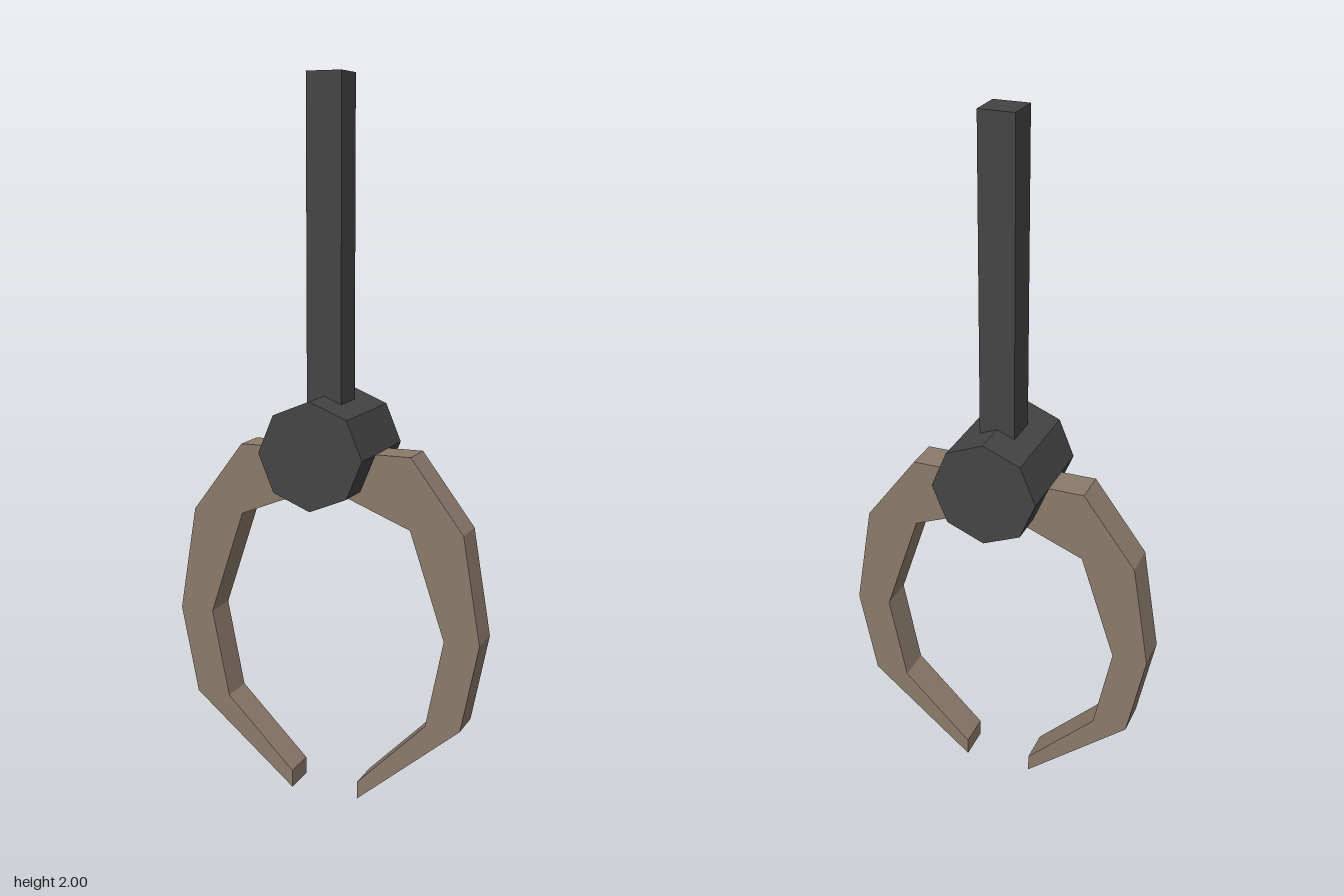
import * as THREE from 'three';

const darkMetal = new THREE.MeshStandardMaterial({ color: 0x444444, flatShading: true });
const brownMetal = new THREE.MeshStandardMaterial({ color: 0x8b7a6b, flatShading: true });

// Outline of one claw: outer edge down to the tip, then inner edge back up
const clawOutline = [
  [0, 1], [0.25, 1], [0.4, 0.8], [0.45, 0.5], [0.4, 0.25], [0.1, 0],
  [0.1, 0.05], [0.3, 0.25], [0.35, 0.5], [0.25, 0.8], [0, 0.9],
];

function makeClaw(name, side) {
  const shape = new THREE.Shape(clawOutline.map(([x, y]) => new THREE.Vector2(side * x, y)));
  const geometry = new THREE.ExtrudeGeometry(shape, { depth: 0.1, bevelEnabled: false });
  geometry.translate(0, 0, -0.05);
  const claw = new THREE.Mesh(geometry, brownMetal);
  claw.name = name;
  return claw;
}

export function createModel() {
  const group = new THREE.Group();
  group.name = 'grabberClaw';

  // Square arm running from the hinge to the top
  const arm = new THREE.Mesh(new THREE.BoxGeometry(0.1, 1, 0.1), darkMetal);
  arm.name = 'arm';
  arm.position.y = 1.5;

  // Eight-sided hinge lying front to back
  const hinge = new THREE.Mesh(new THREE.CylinderGeometry(0.15, 0.15, 0.3, 8), darkMetal);
  hinge.name = 'hinge';
  hinge.rotation.x = Math.PI / 2;
  hinge.position.y = 1;

  group.add(arm, hinge, makeClaw('leftClaw', 1), makeClaw('rightClaw', -1));
  return group;
}
